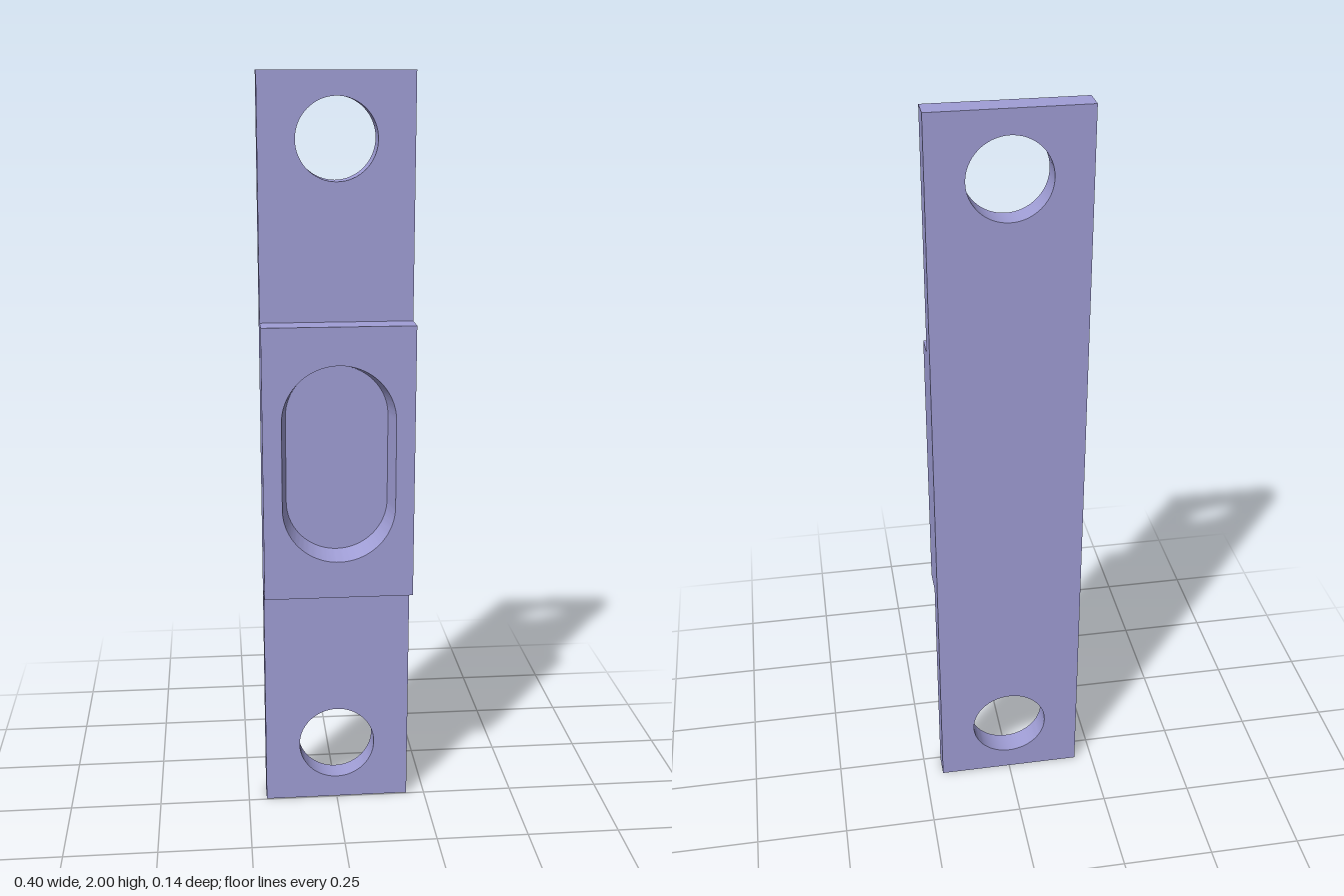
import * as THREE from 'three';
import { toCreasedNormals } from 'three/addons/utils/BufferGeometryUtils.js';

const WIDTH = 0.4;
const BACK_Z = -0.068, STEP_Z = -0.003, FRONT_Z = 0.068;
const SLOT_R = 0.15, SLOT_HALF = 0.117, SLOT_DRAFT = 0.014;

function rectangle(height) {
  const w = WIDTH / 2, h = height / 2;
  return new THREE.Shape([
    new THREE.Vector2(-w, -h), new THREE.Vector2(w, -h),
    new THREE.Vector2(w, h), new THREE.Vector2(-w, h),
  ]);
}

function extrude(shape, depth) {
  return new THREE.ExtrudeGeometry(shape, { depth, bevelEnabled: false, curveSegments: 32 });
}

export function createModel() {
  const group = new THREE.Group();
  const lavender = new THREE.MeshStandardMaterial({ color: 0xa09ed6 });
  lavender.name = 'lavender';

  // Flat strip with a screw hole near each end
  const strip = rectangle(2);
  for (const y of [-0.833, 0.833]) {
    strip.holes.push(new THREE.Path().absarc(0, y, 0.105, 0, Math.PI * 2, true));
  }
  const plate = new THREE.Mesh(toCreasedNormals(extrude(strip, STEP_Z - BACK_Z), 0.6), lavender);
  plate.name = 'mountingPlate';
  plate.position.set(0, 1, BACK_Z);
  group.add(plate);

  // Raised block with a stadium-shaped pocket down to the plate
  const pad = rectangle(0.736);
  const slot = new THREE.Path();
  slot.absarc(0, SLOT_HALF, SLOT_R, 0, Math.PI, false);
  slot.absarc(0, -SLOT_HALF, SLOT_R, Math.PI, Math.PI * 2, false);
  slot.closePath();
  pad.holes.push(slot);
  const blockGeometry = extrude(pad, FRONT_Z - STEP_Z);

  // Taper the pocket walls inward toward its floor
  const pos = blockGeometry.attributes.position;
  for (let i = 0; i < pos.count; i++) {
    const x = pos.getX(i), y = pos.getY(i);
    if (pos.getZ(i) > 0.001 || Math.abs(x) > SLOT_R + 0.01) continue;
    const cy = THREE.MathUtils.clamp(y, -SLOT_HALF, SLOT_HALF);
    const k = 1 - SLOT_DRAFT / SLOT_R;
    pos.setXY(i, x * k, cy + (y - cy) * k);
  }
  const block = new THREE.Mesh(toCreasedNormals(blockGeometry, 0.6), lavender);
  block.name = 'raisedBlock';
  block.position.set(0, 1.003, STEP_Z);
  group.add(block);

  return group;
}
